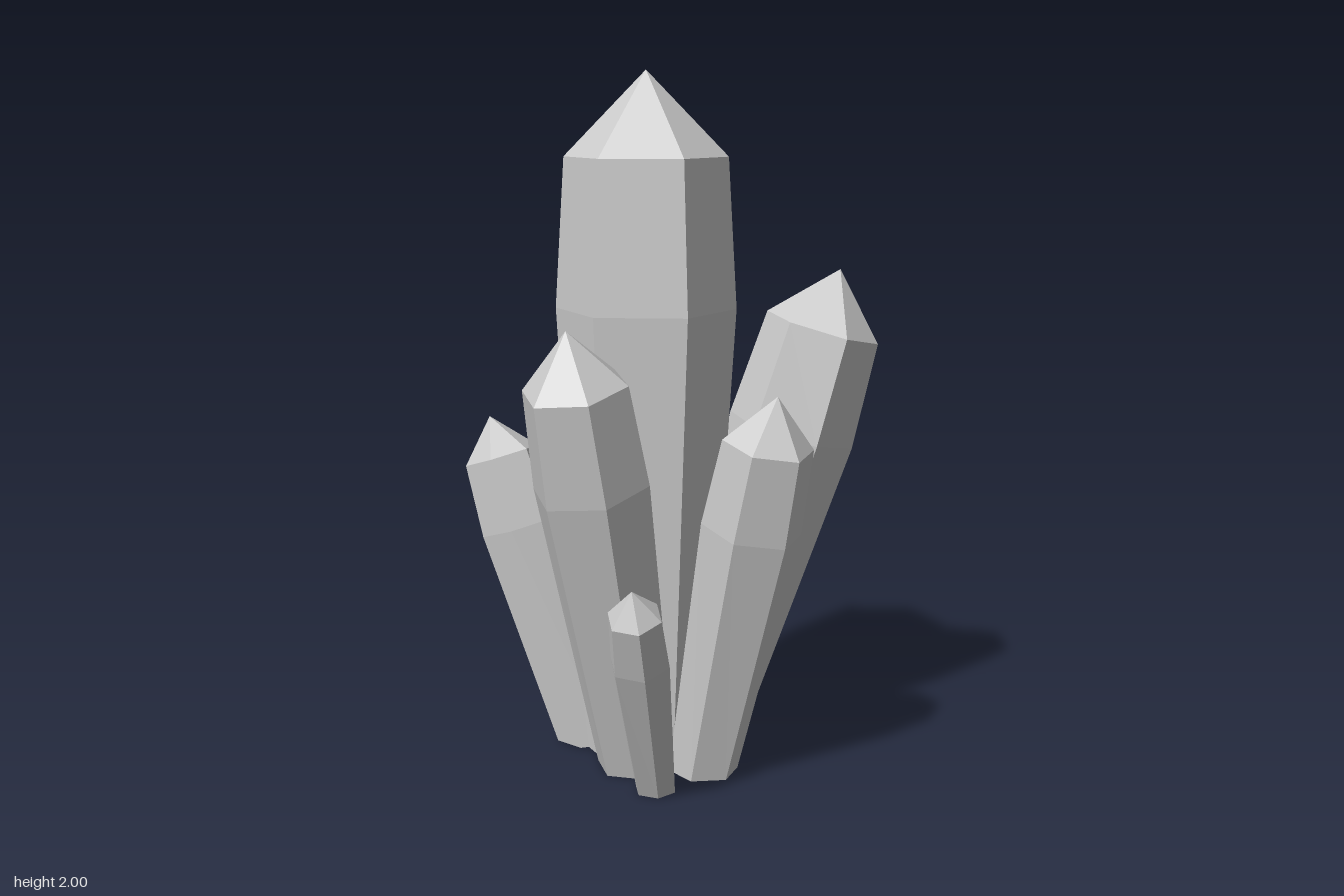
import * as THREE from 'three';

// name, base centre [x, z], tip [x, y, z], widest radius, roll of the hexagon in degrees
const CRYSTALS = [
  ['mainCrystal', [-0.01, 0], [-0.01, 2, 0], 0.26, 30],
  ['backLeftCrystal', [0.06, -0.18], [0.395, 1.43, -0.42], 0.189, 37],
  ['frontCrystal', [0.045, 0.13], [0.04, 1.32, 0.455], 0.167, 41],
  ['leftCrystal', [0.225, 0.05], [0.48, 1.135, 0.095], 0.143, 19],
  ['rightCrystal', [-0.2, 0.04], [-0.52, 0.975, 0.09], 0.127, 7],
  ['backRightCrystal', [-0.13, -0.15], [-0.43, 1.0, -0.29], 0.127, 38],
  ['smallFrontCrystal', [0.19, 0.25], [0.29, 0.665, 0.515], 0.085, 48],
];

const material = new THREE.MeshStandardMaterial({ color: 0xcccccc, flatShading: true });

// Six-sided shaft that swells, narrows to a shoulder and ends in a point
function crystal(name, [bx, bz], tip, r, roll) {
  const base = new THREE.Vector3(bx, 0, bz);
  const axis = new THREE.Vector3(...tip).sub(base);
  const length = axis.length();
  axis.normalize();

  const profile = [[0, 0], [0.7 * r, 0], [r, 0.665], [0.9 * r, 0.88], [0, 1]]
    .map(([x, t]) => new THREE.Vector2(x, t * length));
  const geometry = new THREE.LatheGeometry(profile, 6, THREE.MathUtils.degToRad(90 - roll));

  // Lean the crystal, then slide its foot along the axis so it lies flat on the ground
  geometry.applyQuaternion(new THREE.Quaternion().setFromUnitVectors(new THREE.Vector3(0, 1, 0), axis));
  geometry.translate(bx, 0, bz);
  const pos = geometry.attributes.position;
  const v = new THREE.Vector3();
  for (let i = 0; i < pos.count; i++) {
    v.fromBufferAttribute(pos, i);
    if (i % profile.length < 2) v.addScaledVector(axis, -v.y / axis.y);
    pos.setXYZ(i, v.x, v.y, v.z);
  }

  const flat = geometry.toNonIndexed();
  flat.computeVertexNormals();
  const mesh = new THREE.Mesh(flat, material);
  mesh.name = name;
  return mesh;
}

export function createModel() {
  const group = new THREE.Group();
  group.name = 'crystalCluster';
  for (const spec of CRYSTALS) group.add(crystal(...spec));
  return group;
}
